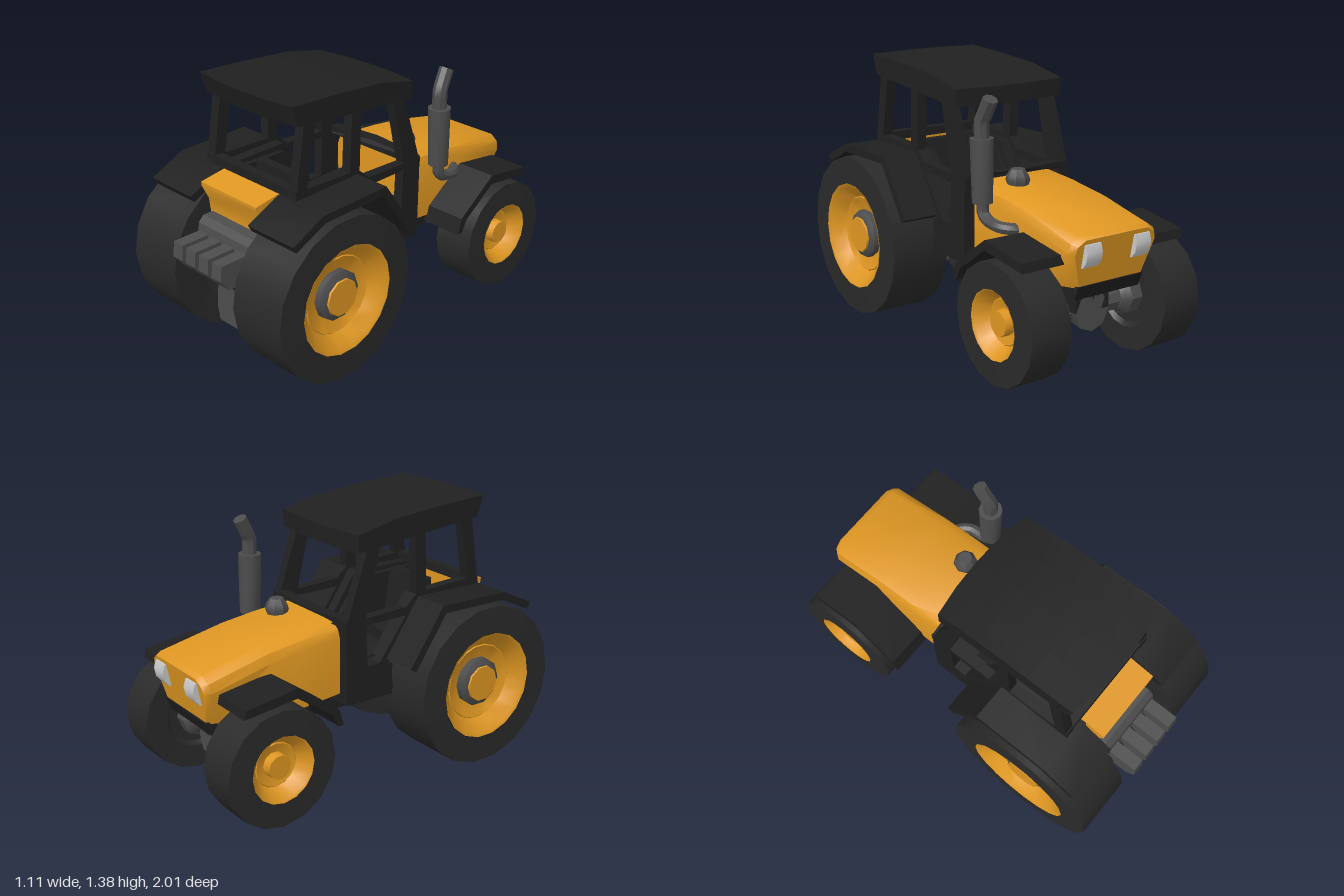
import * as THREE from 'three';
import { toCreasedNormals } from 'three/addons/utils/BufferGeometryUtils.js';

const mat = (color) => new THREE.MeshStandardMaterial({ color, side: THREE.DoubleSide });
const V = (x, y, z) => new THREE.Vector3(x, y, z);

export function createModel() {
  const root = new THREE.Group();
  const orange = mat(0xdf9722), dark = mat(0x202020), tyreMat = mat(0x2a2a2a), grey = mat(0x4d4d4d), lamp = mat(0xcccccc);

  const add = (name, geo, material, parent = root) => {
    const m = new THREE.Mesh(toCreasedNormals(geo, 0.65), material);
    m.name = name;
    parent.add(m);
    return m;
  };
  const box = (name, material, x0, x1, y0, y1, z0, z1) =>
    add(name, new THREE.BoxGeometry(x1 - x0, y1 - y0, z1 - z0)
      .translate((x0 + x1) / 2, (y0 + y1) / 2, (z0 + z1) / 2), material);

  // Side profile given as [z, y] points, extruded across x
  const profileGeo = (pts, x0, x1, holes = [], steps = 1) => {
    const toV2 = (l) => l.map((p) => new THREE.Vector2(...p));
    const shape = new THREE.Shape(toV2(pts));
    holes.forEach((h) => shape.holes.push(new THREE.Path(toV2(h))));
    return new THREE.ExtrudeGeometry(shape, { depth: x1 - x0, bevelEnabled: false, steps })
      .rotateY(-Math.PI / 2).translate(x1, 0, 0);
  };
  const profile = (name, material, pts, x0, x1, holes) => add(name, profileGeo(pts, x0, x1, holes), material);

  // Skin over equal-length rings, ordered from back (+z) to front (-z)
  const loft = (rings) => {
    const n = rings[0].length, idx = [], last = (rings.length - 1) * n;
    for (let i = 0; i < rings.length - 1; i++) for (let j = 0; j < n; j++) {
      const a = i * n + j, b = i * n + (j + 1) % n;
      idx.push(a, a + n, b + n, a, b + n, b);
    }
    for (let j = 1; j < n - 1; j++) idx.push(0, j, j + 1, last, last + j + 1, last + j);
    const g = new THREE.BufferGeometry().setFromPoints(rings.flat());
    g.setIndex(idx);
    return g;
  };
  const lathe = (pts, seg) => new THREE.LatheGeometry(pts.map((p) => new THREE.Vector2(...p)), seg).rotateZ(-Math.PI / 2);

  // Wheels: [radius, x] profiles turned about the axle
  const wheel = (name, side, y, z, seg, parts) => {
    const g = new THREE.Group();
    g.name = name;
    g.position.set(0, y, z);
    if (side < 0) g.rotation.y = Math.PI;
    for (const [part, material, sides, pts] of parts) add(part, lathe(pts, sides || seg), material, g);
    root.add(g);
  };
  for (const s of [1, -1]) {
    wheel('rearWheel', s, 0.428, 0.54, 18, [
      ['tyre', tyreMat, 0, [[0, 0.27], [0.25, 0.26], [0.28, 0.225], [0.428, 0.22], [0.428, 0.543], [0.285, 0.547]]],
      ['rim', orange, 0, [[0.285, 0.549], [0.265, 0.54], [0.205, 0.475], [0.2, 0.48], [0.12, 0.45], [0, 0.45]]],
      ['hubRing', grey, 10, [[0.13, 0.44], [0.13, 0.485], [0.1, 0.505], [0, 0.505]]],
      ['hubCap', orange, 10, [[0.1, 0.49], [0.095, 0.515], [0, 0.515]]]]);
    wheel('frontWheel', s, 0.298, -0.7, 16, [
      ['tyre', tyreMat, 0, [[0, 0.32], [0.16, 0.31], [0.18, 0.288], [0.298, 0.285], [0.298, 0.507], [0.172, 0.51]]],
      ['rim', orange, 0, [[0.172, 0.512], [0.16, 0.505], [0.115, 0.44], [0.11, 0.445], [0.06, 0.43], [0, 0.43]]],
      ['hubCap', orange, 10, [[0.065, 0.42], [0.062, 0.48], [0, 0.48]]]]);

    // Mudguards
    const [r0, r1] = s > 0 ? [0.21, 0.515] : [-0.515, -0.21];
    profile('rearFender', dark, [[0.85, 0.815], [0.66, 0.905], [0.25, 0.912], [0.05, 0.62],
      [0.085, 0.6], [0.27, 0.87], [0.65, 0.865], [0.83, 0.78]], r0, r1);
    const [f0, f1] = s > 0 ? [0.25, 0.485] : [-0.485, -0.25];
    profile('frontFender', dark, [[-0.88, 0.635], [-0.6, 0.675], [-0.36, 0.505], [-0.335, 0.42],
      [-0.365, 0.42], [-0.4, 0.485], [-0.6, 0.625], [-0.89, 0.59]], f0, f1);
    const [w0, w1] = s > 0 ? [0.18, 0.225] : [-0.225, -0.18];
    profile('innerFenderWall', dark, [[0.1, 0.45], [0.07, 0.6], [0.27, 0.88], [0.68, 0.89], [0.68, 0.45]], w0, w1);

    // Cab side frame with rear window, door window and lower door opening
    const [c0, c1] = s > 0 ? [0.268, 0.322] : [-0.322, -0.268];
    profile('cabSideFrame', dark,
      [[0.59, 1.29], [-0.07, 1.23], [-0.19, 0.87], [-0.205, 0.86], [-0.2, 0.8], [-0.195, 0.45], [0.1, 0.45],
        [0.06, 0.6], [0.26, 0.88], [0.66, 0.88], [0.645, 0.95]], c0, c1,
      [[[0.525, 1.26], [0.58, 0.945], [0.3, 0.935], [0.285, 1.25]],
        [[0.225, 1.24], [0.235, 0.925], [0.17, 0.87], [-0.085, 0.86], [0, 1.21]],
        [[0.17, 0.825], [0.005, 0.605], [-0.07, 0.605], [-0.08, 0.825]]]);

    // Axle housings
    const flip = s < 0 ? Math.PI : 0;
    add('rearAxleHousing', lathe([[0.07, 0.1], [0.09, 0.15], [0.13, 0.2], [0.13, 0.3]], 8)
      .rotateY(flip).translate(0, 0.428, 0.54), grey);
    add('frontAxleHub', lathe([[0, 0.2], [0.07, 0.21], [0.11, 0.25], [0.11, 0.33]], 8)
      .rotateY(flip).translate(0, 0.298, -0.7), grey);

    // Headlights with bulging lenses
    profile('headlight', lamp, [[-0.94, 0.69], [-0.972, 0.69], [-0.984, 0.65], [-0.975, 0.605], [-0.95, 0.575], [-0.93, 0.575]],
      s * 0.147 - 0.045, s * 0.147 + 0.045);
  }

  // Roof, bowed at both ends
  const roof = profileGeo([[0.665, 1.375], [0.4, 1.362], [0.1, 1.338], [-0.13, 1.29], [-0.13, 1.2], [0.63, 1.268]], -0.325, 0.325, [], 4);
  const rp = roof.attributes.position;
  for (let i = 0; i < rp.count; i++) {
    const bow = 0.03 * (1 - (rp.getX(i) / 0.325) ** 2), z = rp.getZ(i);
    rp.setZ(i, z + (z > 0.5 ? bow : z < -0.1 ? -bow : 0));
  }
  add('roof', roof, dark);

  // Cab cross bars, floor and seat
  box('rearWindowSill', dark, -0.322, 0.322, 0.905, 0.95, 0.6, 0.65);
  add('windscreenSill', loft([[-0.15, -0.17], [-0.2, -0.235]].map(([side, mid]) => [
    V(-0.322, 0.83, side), V(0, 0.83, mid), V(0.322, 0.83, side),
    V(0.322, 0.87, side), V(0, 0.87, mid), V(-0.322, 0.87, side)])), dark);
  box('cabFloor', dark, -0.32, 0.32, 0.42, 0.59, -0.19, 0.09);
  profile('seat', dark, [[0.22, 0.57], [0.22, 0.66], [0.4, 0.68], [0.44, 0.92], [0.49, 0.92], [0.48, 0.57]], -0.14, 0.14);

  // Bonnet: back-to-front sections [z, yBottom, wBottom, yShoulder, wShoulder, yTop, wTop, lean]
  const bonnet = [
    [-0.195, 0.47, 0.26, 0.76, 0.262, 0.84, 0.19, 0],
    [-0.4, 0.45, 0.26, 0.75, 0.262, 0.825, 0.19, 0],
    [-0.6, 0.44, 0.26, 0.725, 0.262, 0.8, 0.19, 0],
    [-0.94, 0.47, 0.2, 0.65, 0.26, 0.725, 0.2, -0.2],
    [-0.968, 0.47, 0.185, 0.645, 0.24, 0.712, 0.185, -0.2],
  ].map(([z, yb, wb, ys, ws, yt, wt, k]) => {
    const p = (x, y) => V(x, y, z + k * (y - yt));
    const xm = ws * 0.6 + wt * 0.4 + 0.01, ym = ys * 0.4 + yt * 0.6;
    return [p(-wb, yb), p(wb, yb), p(ws, ys), p(xm, ym), p(wt, yt), p(-wt, yt), p(-xm, ym), p(-ws, ys)];
  });
  add('bonnet', loft(bonnet), orange);
  add('airIntake', lathe([[0.045, 0.8], [0.062, 0.85], [0.055, 0.875], [0.035, 0.905], [0, 0.905]], 8)
    .rotateZ(Math.PI / 2).translate(0.095, 0, -0.33), grey);

  // Exhaust
  const pipe = (name, pts, r, seg) => add(name, new THREE.TubeGeometry(new THREE.CatmullRomCurve3(pts, false, 'catmullrom', 0.3), seg, r, 8), grey);
  pipe('exhaustPipe', [V(0.2, 0.675, -0.54), V(0.27, 0.675, -0.535), V(0.315, 0.68, -0.48), V(0.32, 0.69, -0.4),
    V(0.32, 0.72, -0.355), V(0.32, 0.79, -0.35)], 0.03, 16);
  add('muffler', new THREE.CylinderGeometry(0.06, 0.053, 0.315, 10).rotateX(0.02).translate(0.32, 0.93, -0.347), grey);
  pipe('exhaustStack', [V(0.32, 1.05, -0.345), V(0.32, 1.17, -0.345), V(0.315, 1.2, -0.36), V(0.31, 1.28, -0.402)], 0.038, 10);
  add('exhaustTip', new THREE.CylinderGeometry(0.037, 0.037, 0.02, 8).rotateX(-0.48).translate(0.31, 1.272, -0.398), grey);

  // Chassis, drive shaft and front axle
  profile('chassis', dark, [[0.8, 0.6], [0.87, 0.54], [0.85, 0.42], [0.72, 0.39], [0.1, 0.36], [-0.4, 0.36], [-0.7, 0.36],
    [-0.9, 0.41], [-0.93, 0.48], [-0.2, 0.5], [0, 0.6]], -0.195, 0.195);
  pipe('driveShaft', [V(0, 0.34, 0.55), V(0, 0.33, 0), V(0, 0.31, -0.65)], 0.035, 4);
  add('frontAxle', new THREE.CylinderGeometry(0.06, 0.06, 0.6, 8).rotateZ(Math.PI / 2).translate(0, 0.28, -0.7), grey);
  add('frontDifferential', new THREE.CylinderGeometry(0.07, 0.1, 0.2, 8).rotateX(Math.PI / 2).translate(0, 0.285, -0.7), grey);
  box('axleCarrier', dark, -0.1, 0.1, 0.29, 0.42, -0.8, -0.6);

  // Rear end: coloured panel, valve block and hitch
  profile('rearPanel', orange, [[0.63, 0.905], [0.79, 0.88], [0.79, 0.86], [0.75, 0.78], [0.74, 0.7], [0.75, 0.6], [0.63, 0.6]], -0.2, 0.2);
  profile('valveBlock', grey, [[0.7, 0.71], [0.8, 0.71], [0.83, 0.68], [0.84, 0.6], [0.7, 0.58]], -0.185, 0.185);
  for (let i = 0; i < 4; i++) {
    const x = (i - 1.5) * 0.096;
    profile('hydraulicValve', grey, [[0.8, 0.64], [0.99, 0.64], [0.998, 0.56], [0.95, 0.5], [0.8, 0.5]], x - 0.034, x + 0.034);
  }
  add('rearAxle', new THREE.CylinderGeometry(0.048, 0.048, 0.46, 8).rotateZ(Math.PI / 2).translate(0, 0.355, 0.62), grey);
  add('hitchBlock', loft([0.82, 0.55].map((z) => [V(-0.07, 0.175, z), V(0.06, 0.175, z), V(0.078, 0.25, z),
    V(0.07, 0.4, z), V(-0.07, 0.4, z), V(-0.085, 0.25, z)])), grey);

  // Slight turn of the whole vehicle
  root.rotation.y = 0.018;
  root.position.x = -0.007;
  return root;
}
